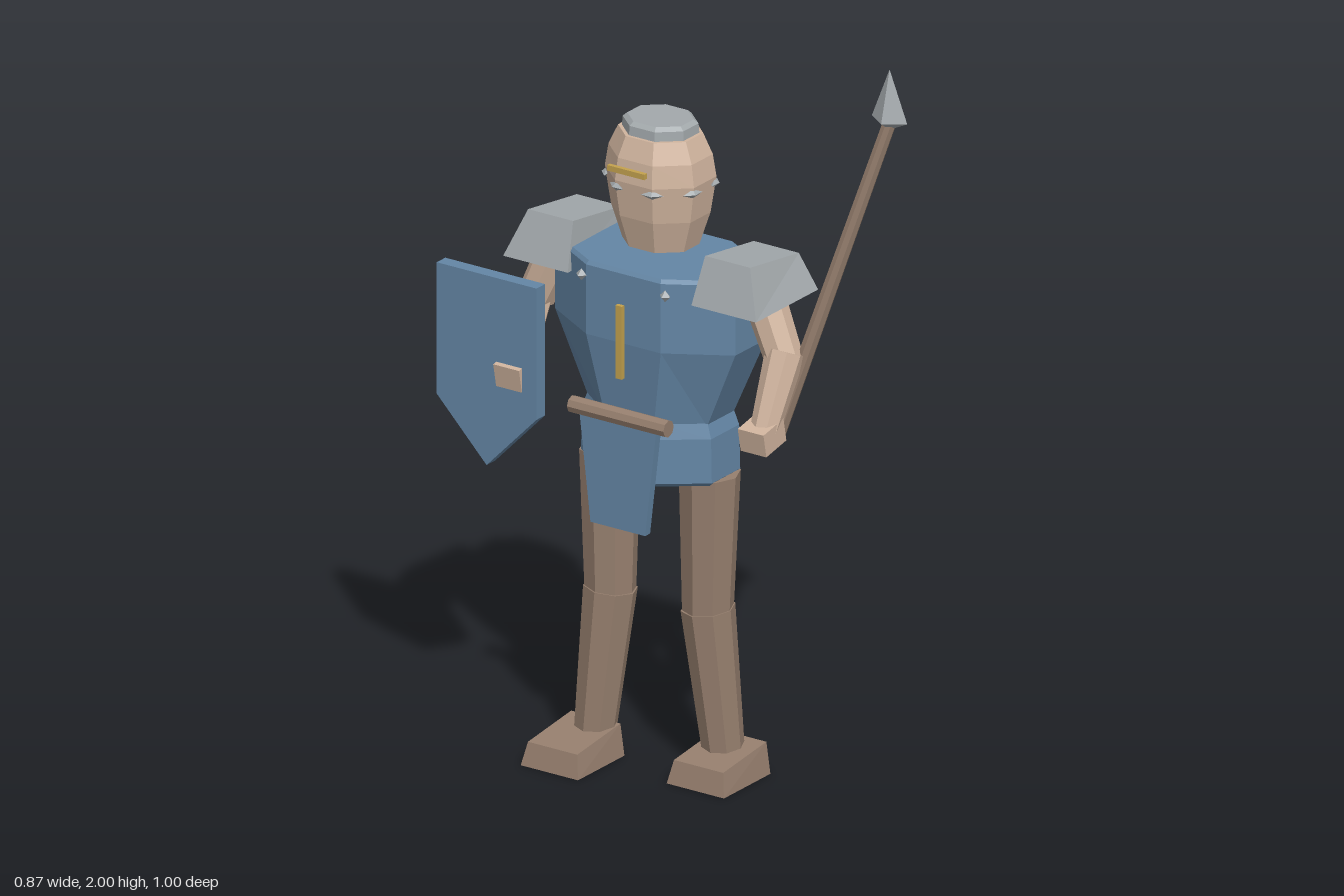
import * as THREE from 'three';

const mat = (name, color) => {
  const m = new THREE.MeshStandardMaterial({ color, flatShading: true });
  m.name = name;
  return m;
};

export function createModel() {
  const blue = mat('blue cloth', 0x6486a5);
  const skin = mat('skin', 0xd0b49e);
  const brown = mat('brown leather', 0x967f6e);
  const steel = mat('steel', 0xa3a9ac);
  const gold = mat('gold', 0xc4a24e);

  const model = new THREE.Group();
  model.name = 'guard';
  const body = new THREE.Group();
  body.name = 'turnedFigure';
  body.position.set(-0.02, 0, -0.02);
  body.rotation.y = -Math.PI / 3;
  model.add(body);

  const add = (name, geometry, material, x = 0, y = 0, z = 0) => {
    const mesh = new THREE.Mesh(geometry, material);
    mesh.name = name;
    mesh.position.set(x, y, z);
    body.add(mesh);
    return mesh;
  };

  // Closed eight-sided form from rings of [y, half width, half depth]
  const loft = (rings) => {
    const first = rings[0], last = rings[rings.length - 1];
    const all = [[first[0], 0, 0], ...rings, [last[0], 0, 0]];
    const g = new THREE.LatheGeometry(all.map(([y, a]) => new THREE.Vector2(a, y)), 8, Math.PI / 8);
    const p = g.attributes.position;
    for (let i = 0; i < p.count; i++) {
      const [, a, b] = all[i % all.length];
      if (a > 0) p.setZ(i, p.getZ(i) * b / a);
    }
    return g;
  };

  // Tapered limb between two points
  const limb = (name, from, to, r0, r1, material, sides = 8) => {
    const a = new THREE.Vector3(...from), b = new THREE.Vector3(...to);
    const d = b.clone().sub(a);
    const mesh = add(name, new THREE.CylinderGeometry(r1, r0, d.length(), sides), material);
    mesh.position.copy(a).add(b).multiplyScalar(0.5);
    mesh.quaternion.setFromUnitVectors(new THREE.Vector3(0, 1, 0), d.normalize());
    return mesh;
  };

  // Flat plate with a given outline, centred on z
  const plate = (points, depth) => {
    const shape = new THREE.Shape(points.map(([x, y]) => new THREE.Vector2(x, y)));
    return new THREE.ExtrudeGeometry(shape, { depth, bevelEnabled: false }).translate(0, 0, -depth / 2);
  };

  // Torso and skirt
  add('torso', loft([
    [0.98, 0.2, 0.15], [1.2, 0.303, 0.178], [1.39, 0.303, 0.178], [1.4, 0.293, 0.17],
  ]), blue);
  add('skirt', loft([
    [0.82, 0.21, 0.155], [0.83, 0.22, 0.164], [0.95, 0.217, 0.162], [0.995, 0.2, 0.15],
  ]), blue);

  // Head, cap and the ring of slits around it
  add('head', loft([
    [1.43, 0.104, 0.09], [1.52, 0.134, 0.116], [1.62, 0.15, 0.13], [1.68, 0.14, 0.122], [1.735, 0.114, 0.1],
  ]), skin);
  add('cap', loft([[1.735, 0.104, 0.09], [1.76, 0.102, 0.088], [1.77, 0.09, 0.077]]), steel);
  for (let i = 0; i < 8; i++) {
    const t = Math.PI / 8 + i * Math.PI / 4;
    const eye = add('eyeSlit', new THREE.OctahedronGeometry(1), steel,
      0.145 * Math.sin(t), 1.603, 0.126 * Math.cos(t));
    eye.scale.set(0.03, 0.012, 0.013);
    eye.rotation.y = t;
  }

  // Gold trim, chest rivets, belt and hanging cloth
  add('browBar', new THREE.BoxGeometry(0.115, 0.015, 0.012), gold, 0, 1.665, 0.148);
  add('chestBar', new THREE.BoxGeometry(0.02, 0.2, 0.012), gold, 0, 1.21, 0.18);
  for (const s of [-1, 1]) {
    add('chestRivet', new THREE.OctahedronGeometry(0.016), steel, s * 0.13, 1.36, 0.165);
  }
  limb('belt', [-0.15, 1.005, 0.178], [0.15, 1.005, 0.178], 0.023, 0.023, brown);
  add('tabard', plate([[-0.12, 1.0], [-0.085, 0.7], [0.085, 0.7], [0.12, 1.0]], 0.022), blue, 0, 0, 0.178);

  // Shoulder plate: box narrowed at the top, lower toward the back
  const pauldron = (side) => {
    const g = new THREE.BoxGeometry(1, 1, 1);
    const p = g.attributes.position;
    for (let i = 0; i < p.count; i++) {
      const up = p.getY(i) > 0, front = p.getZ(i) > 0, outer = p.getX(i) * side > 0;
      p.setXYZ(i,
        side * (outer ? (up ? 0.345 : 0.393) : (up ? 0.205 : 0.192)),
        up ? (front ? 1.465 : 1.435) : 1.34,
        front ? (up ? 0.095 : 0.137) : (up ? -0.12 : -0.137));
    }
    return g;
  };

  // Boot: box with a lower, slightly narrower toe
  const boot = () => {
    const g = new THREE.BoxGeometry(0.178, 0.085, 0.205);
    const p = g.attributes.position;
    for (let i = 0; i < p.count; i++) {
      if (p.getY(i) > 0) {
        p.setX(i, p.getX(i) * 0.86);
        if (p.getZ(i) > 0) p.setXYZ(i, p.getX(i), 0.02, 0.088);
      }
    }
    return g;
  };

  // Arms, legs and feet; the right leg steps slightly forward
  for (const s of [-1, 1]) {
    const side = s > 0 ? 'left' : 'right';
    add(side + 'Pauldron', pauldron(s), steel);
    limb(side + 'UpperArm', [s * 0.3, 1.38, -0.01], [s * 0.385, 1.19, 0], 0.056, 0.05, skin);
    limb(side + 'Forearm', [s * 0.388, 1.215, 0], [s * 0.382, 1.02, 0.085], 0.052, 0.038, skin);
    const hand = add(side + 'Hand', new THREE.BoxGeometry(0.08, 0.065, 0.09), skin, s * 0.38, 1.015, 0.092);
    hand.rotation.x = 0.2;

    const [hipZ, kneeZ, ankleZ, footZ] = s > 0 ? [-0.004, -0.007, -0.033, 0.01] : [0.01, 0.02, 0.045, 0.123];
    limb(side + 'Thigh', [s * 0.142, 0.45, kneeZ], [s * 0.15, 0.83, hipZ], 0.067, 0.08, brown);
    limb(side + 'Shin', [s * 0.172, 0.06, ankleZ], [s * 0.142, 0.455, kneeZ], 0.055, 0.071, brown);
    add(side + 'Boot', boot(), brown, s * 0.187, 0.0425, footZ);
  }

  // Spear leaning outward, with an upright four-sided point
  limb('spearShaft', [0.363, 0.98, 0.002], [0.622, 1.855, -0.128], 0.022, 0.018, brown);
  const point = add('spearPoint', new THREE.LatheGeometry([
    new THREE.Vector2(0, 1.835), new THREE.Vector2(0.055, 1.862), new THREE.Vector2(0, 2),
  ], 4), steel, 0.622, 0, -0.127);
  point.scale.z = 0.68;

  // Pointed shield on the right arm
  add('shield', plate([
    [-0.155, 1.27], [-0.155, 0.91], [0, 0.75], [0.155, 0.91], [0.155, 1.27],
  ], 0.038), blue, -0.45, 0, 0.11);

  return model;
}
